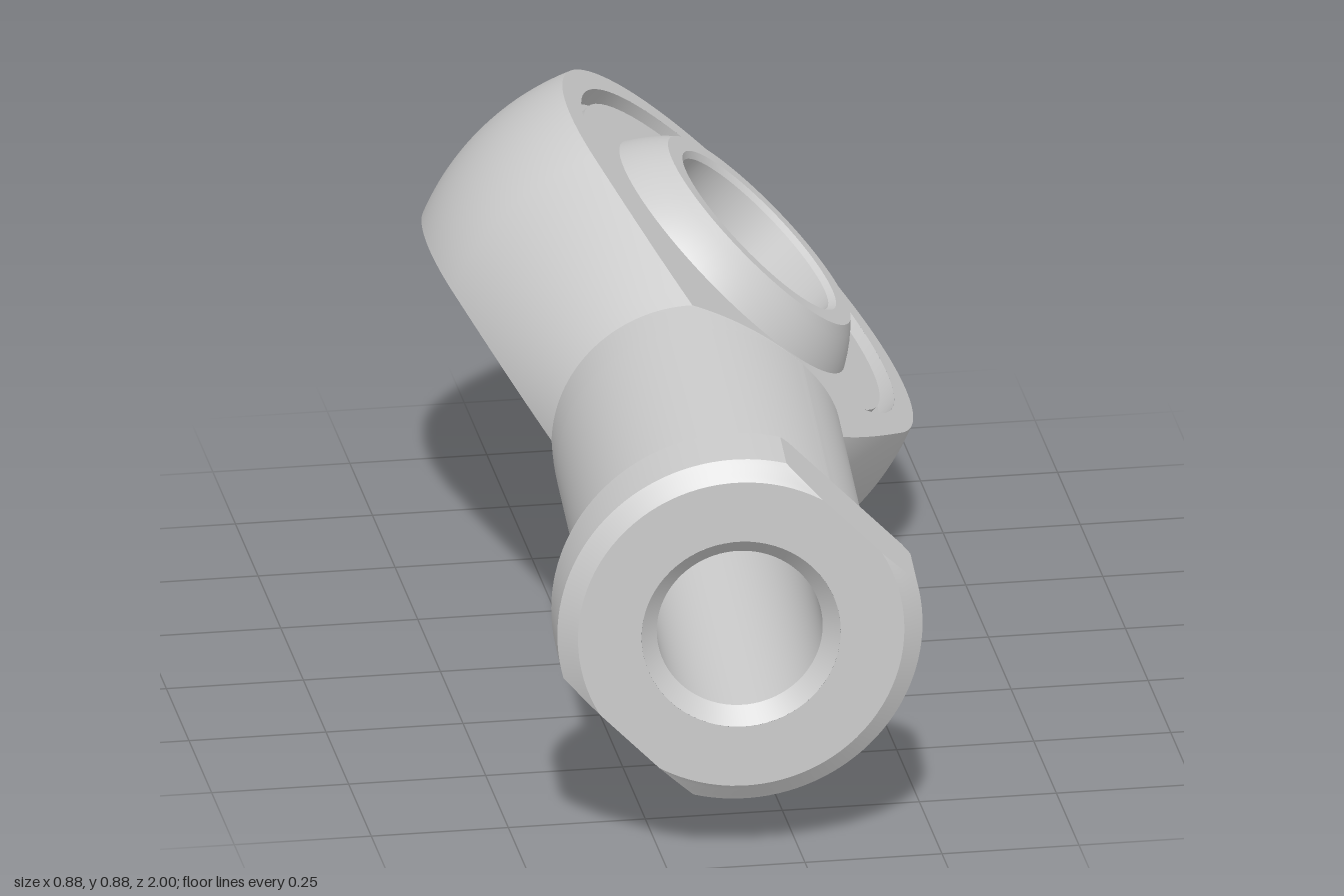
import * as THREE from 'three';
import { mergeGeometries, toCreasedNormals } from 'three/addons/utils/BufferGeometryUtils.js';

const HEAD_R = 0.48, HEAD_H = 0.18, SHANK_R = 0.26, NECK_Z = 0.57, END_Z = 1.5;
const FLANGE_R = 0.33, FLANGE_H = 0.285, FLANGE_Z = 1.34, SEAT_R = 0.397;
const FREE = 9; // clip height that never cuts

const steps = (n, f) => Array.from({ length: n + 1 }, (_, i) => f(i / n));
const halfWidth = ([, r, h]) => Math.sqrt(Math.max(0, r * r - h * h));
const arcAngle = ([, r, h]) => Math.asin(Math.min(1, h / r));

// Surface through rows of points
function grid(rows, cols, pointAt) {
  const pos = [], idx = [];
  rows.forEach((row, i) => {
    for (let j = 0; j <= cols; j++) {
      pos.push(...pointAt(row, j / cols));
      if (i && j) {
        const d = i * (cols + 1) + j, b = d - cols - 1;
        idx.push(b - 1, b, d - 1, b, d, d - 1);
      }
    }
  });
  const g = new THREE.BufferGeometry();
  g.setAttribute('position', new THREE.Float32BufferAttribute(pos, 3));
  g.setIndex(idx);
  g.computeVertexNormals();
  return g;
}

// A geometry together with its copy turned half way round the shank axis
const paired = (g) => mergeGeometries([g, g.clone().rotateZ(Math.PI)]);

// Rows are [z, radius, clip height]: round sides between two parallel flats
const sides = (rows) => paired(grid(rows, 40, (row, u) => {
  const a = (2 * u - 1) * arcAngle(row);
  return [row[1] * Math.cos(a), row[1] * Math.sin(a), row[0]];
}));
const flats = (rows) => paired(grid(rows, 4, (row, u) =>
  [(1 - 2 * u) * halfWidth(row), row[2], row[0]]));

const lathe = (pts, crease = 0.4) => toCreasedNormals(
  new THREE.LatheGeometry(pts.map(([x, y]) => new THREE.Vector2(x, y)), 72), crease);

function circleHole(r) {
  return new THREE.Path().absarc(0, 0, r, 0, Math.PI * 2, true);
}

export function createModel() {
  const model = new THREE.Group();
  model.name = 'rodEnd';
  const body = new THREE.Group();
  body.name = 'tiltedAssembly';
  model.add(body);
  const material = new THREE.MeshStandardMaterial({ color: 0xcccccc });
  const add = (name, geometry) => {
    const mesh = new THREE.Mesh(geometry, material);
    mesh.name = name;
    body.add(mesh);
  };

  // Eye: spherical head running tangentially into a conical neck
  const faceR = Math.sqrt(HEAD_R ** 2 - HEAD_H ** 2);
  const tangent = Math.atan2(SHANK_R, NECK_Z) + Math.acos(HEAD_R / Math.hypot(SHANK_R, NECK_Z));
  const tz = HEAD_R * Math.cos(tangent), tr = HEAD_R * Math.sin(tangent);
  const cap = steps(10, (t) => {
    const a = 0.003 + t * (Math.asin(HEAD_H / HEAD_R) - 0.003);
    return [-HEAD_R * Math.cos(a), HEAD_R * Math.sin(a), HEAD_H];
  });
  const ball = steps(44, (t) => {
    const z = -faceR * Math.cos(t * Math.acos(-tz / faceR));
    return [z, Math.sqrt(HEAD_R ** 2 - z * z), HEAD_H];
  });
  const cone = steps(10, (t) => [tz + t * (NECK_Z - tz), tr + t * (SHANK_R - tr), HEAD_H]);
  add('eyeHousing', sides([...cap, ...ball.slice(1), ...cone.slice(1)]));

  // Flat faces of the eye with the bearing seat cut out
  const edge = [...ball, ...cone.slice(1)];
  const outline = [
    ...edge.map((row) => new THREE.Vector2(halfWidth(row), -row[0])),
    ...edge.slice(1).reverse().map((row) => new THREE.Vector2(-halfWidth(row), -row[0])),
  ];
  const face = new THREE.Shape(outline);
  face.holes.push(circleHole(SEAT_R));
  add('eyeFaces', paired(
    new THREE.ShapeGeometry(face, 72).rotateX(-Math.PI / 2).translate(0, HEAD_H, 0)));

  // Seat groove and outer race on both sides
  add('outerRace', paired(lathe([
    [SEAT_R, HEAD_H], [SEAT_R, 0.14], [0.375, 0.14], [0.375, 0.165], [0.28, 0.165],
  ])));

  // Swivel ball with its through bore
  const a0 = Math.asin(0.235 / 0.33);
  add('swivelBall', lathe([
    ...steps(24, (t) => [0.33 * Math.cos((2 * t - 1) * a0), 0.33 * Math.sin((2 * t - 1) * a0)]),
    [0.195, 0.235], [0.185, 0.225], [0.185, -0.225], [0.195, -0.235], [0.23, -0.235],
  ]));

  // Shank: sloped run-outs at the neck, fillet at the flange
  const slope = steps(14, (t) => {
    const s = 1 - (1 - t) ** 2;
    return [NECK_Z + 0.11 * s, SHANK_R, HEAD_H + (SHANK_R - HEAD_H) * s];
  });
  const fillet = steps(8, (t) => [
    FLANGE_Z - 0.03 + 0.03 * Math.sin(t * Math.PI / 2),
    SHANK_R + 0.025 * (1 - Math.cos(t * Math.PI / 2)), FREE]);
  add('shank', sides([...slope, ...fillet]));
  add('neckRunOuts', flats(slope));

  // Flange with two wrench flats and chamfered rims
  const rim = [
    [FLANGE_Z, FLANGE_H, FLANGE_H], [FLANGE_Z, FLANGE_R - 0.01, FLANGE_H],
    [FLANGE_Z + 0.01, FLANGE_R, FLANGE_H], [END_Z - 0.025, FLANGE_R, FLANGE_H],
    [END_Z, 0.295, FLANGE_H],
  ];
  for (let i = 1; i < rim.length; i++) {
    const band = steps(4, (t) => rim[i].map((v, k) => rim[i - 1][k] + t * (v - rim[i - 1][k])));
    add('flangeRim', sides(band));
    if (i > 1) add('wrenchFlats', flats(band));
  }

  // End face around the socket
  const end = rim[rim.length - 1], lim = arcAngle(end);
  const endShape = new THREE.Shape([0, Math.PI].flatMap((turn) => steps(40, (t) => {
    const a = turn + (2 * t - 1) * lim;
    return new THREE.Vector2(end[1] * Math.cos(a), end[1] * Math.sin(a));
  })));
  endShape.holes.push(circleHole(0.18));
  add('endFace', new THREE.ShapeGeometry(endShape, 72).translate(0, 0, END_Z));

  // Countersunk blind socket with a drill-point bottom
  add('socket', lathe([[0.18, END_Z], [0.15, END_Z - 0.03], [0.15, 0.76], [0, 0.67]])
    .rotateX(Math.PI / 2));

  // Resting attitude: rolled about the shank and slightly turned
  body.rotation.set(0, -0.075, -Math.PI / 4, 'YXZ');
  body.position.set(0, 0.443, -0.52);
  return model;
}
